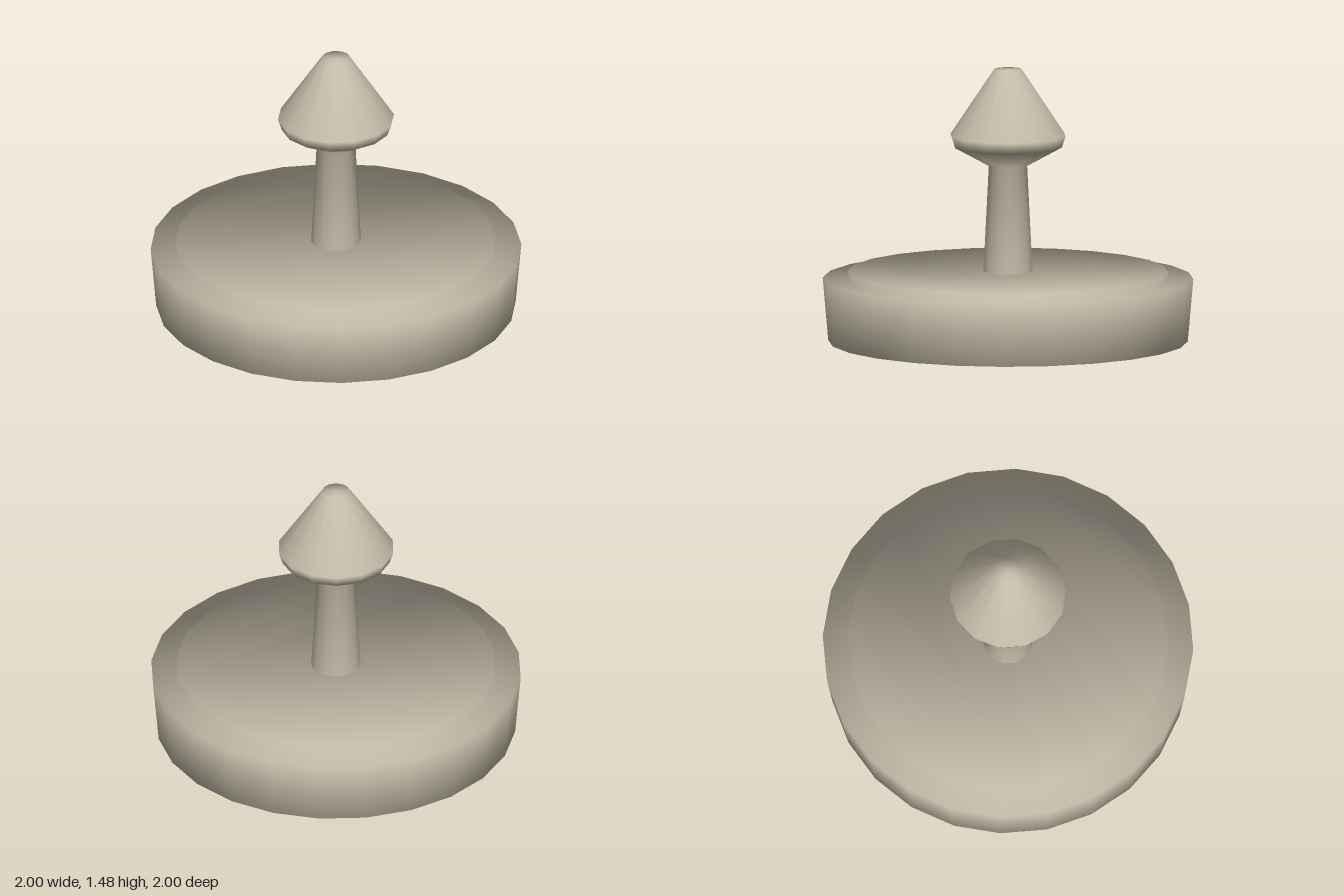
import * as THREE from 'three';

const SIDES = 24;

// Smooth round base made of stacked rings, closed by row-wise caps.
function baseGeometry() {
  // radius, height, and upward tilt of the soft normals
  const rings = [[0.97, 0, -0.5], [1, 0.34, 0.45], [0.862, 0.34, 0.55], [0.862, 0.38, 0.6]];
  const positions = [], normals = [], index = [];
  rings.forEach(([r, y, tilt], k) => {
    for (let i = 0; i < SIDES; i++) {
      const a = (i / SIDES) * Math.PI * 2;
      const c = Math.cos(a), s = Math.sin(a);
      // the step fades into a slope at the left and right ends
      const lift = k === 2 ? 0.038 * Math.pow(Math.abs(c), 24) : 0;
      positions.push(r * c, y + lift, r * s);
      const n = new THREE.Vector3(c, tilt, s).normalize();
      normals.push(n.x, n.y, n.z);
    }
  });
  const at = (k, i) => k * SIDES + ((i + SIDES) % SIDES);

  // side wall, rim and step
  for (let k = 0; k < rings.length - 1; k++) {
    for (let i = 0; i < SIDES; i++) {
      const a = at(k, i), b = at(k, i + 1), c = at(k + 1, i), d = at(k + 1, i + 1);
      index.push(a, c, b, c, d, b);
    }
  }

  // top and bottom caps, in rows from back to front
  const half = SIDES / 2, quarter = SIDES / 4;
  const cap = (k, up) => {
    for (let i = -quarter; i < quarter; i++) {
      const r0 = at(k, i), r1 = at(k, i + 1), l0 = at(k, half - i), l1 = at(k, half - i - 1);
      const tris = [];
      if (i > -quarter) tris.push([r0, l0, r1]);
      if (i < quarter - 1) tris.push([l0, l1, r1]);
      for (const [a, b, c] of tris) index.push(...(up ? [a, b, c] : [a, c, b]));
    }
  };
  cap(rings.length - 1, true);
  cap(0, false);

  const g = new THREE.BufferGeometry();
  g.setAttribute('position', new THREE.Float32BufferAttribute(positions, 3));
  g.setAttribute('normal', new THREE.Float32BufferAttribute(normals, 3));
  g.setIndex(index);
  return g;
}

export function createModel() {
  const group = new THREE.Group();
  group.name = 'pedestal';
  const stone = new THREE.MeshStandardMaterial({ color: 0xc4bba8 });
  stone.name = 'warm stone';

  const base = new THREE.Mesh(baseGeometry(), stone);
  base.name = 'base';
  group.add(base);

  // tapered stem flaring into a conical head
  const profile = [
    [0.135, 0.37], [0.105, 0.955], [0.295, 1.06], [0.315, 1.12], [0.075, 1.48], [0, 1.48],
  ].map(([r, y]) => new THREE.Vector2(r, y));
  const stem = new THREE.Mesh(new THREE.LatheGeometry(profile, 14, Math.PI / 2), stone);
  stem.name = 'stemAndHead';
  group.add(stem);

  return group;
}
